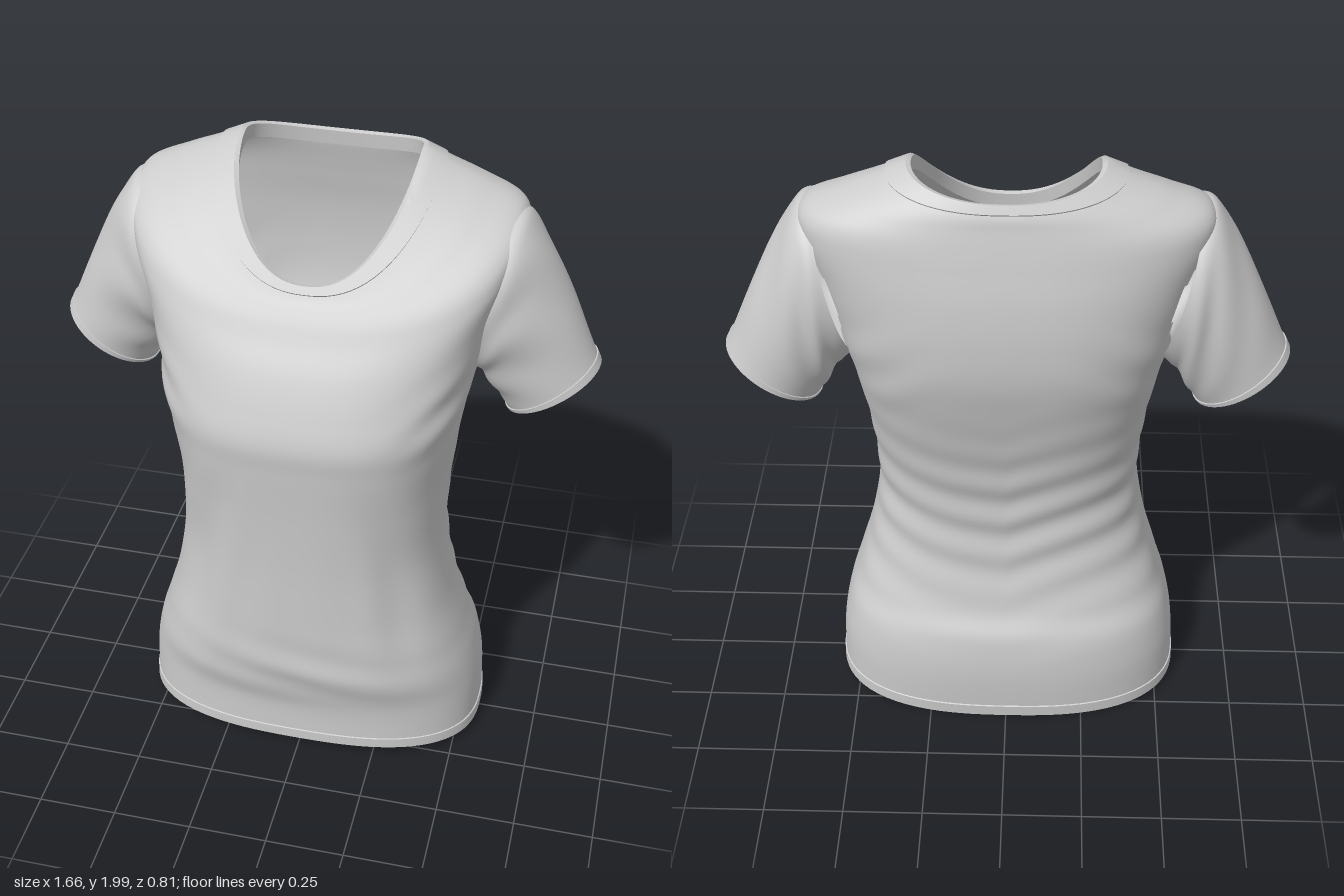
import * as THREE from 'three';
import { toCreasedNormals } from 'three/addons/utils/BufferGeometryUtils.js';

const fabric = new THREE.MeshStandardMaterial({ color: 0xcccccc, side: THREE.DoubleSide });
const TAU = Math.PI * 2;

// Torso rings, hem to neckline:
// [half width, side y, side z, front y, front z, back y, back z, squareness]
const TORSO = [
  [0.56, 0.03, 0, 0.045, 0.33, 0.005, -0.322, 2.6],
  [0.553, 0.2, 0, 0.2, 0.335, 0.19, -0.335, 2.6],
  [0.53, 0.32, 0, 0.32, 0.365, 0.33, -0.322, 2.6],
  [0.495, 0.43, 0.01, 0.43, 0.372, 0.43, -0.28, 2.6],
  [0.445, 0.6, 0.02, 0.6, 0.375, 0.6, -0.25, 2.5],
  [0.412, 0.8, 0.02, 0.8, 0.378, 0.8, -0.253, 2.5],
  [0.418, 1.0, 0, 1.0, 0.387, 1.0, -0.29, 2.6],
  [0.44, 1.2, -0.03, 1.18, 0.4, 1.2, -0.345, 2.8],
  [0.465, 1.33, -0.06, 1.28, 0.405, 1.38, -0.392, 2.8],
  [0.49, 1.45, -0.09, 1.38, 0.375, 1.52, -0.403, 2.7],
  [0.53, 1.62, -0.12, 1.48, 0.33, 1.65, -0.395, 2.6],
  [0.58, 1.78, -0.14, 1.56, 0.28, 1.76, -0.375, 2.5],
  [0.565, 1.86, -0.15, 1.61, 0.25, 1.82, -0.362, 2.5],
  [0.46, 1.91, -0.16, 1.645, 0.225, 1.87, -0.35, 2.5],
  [0.36, 1.95, -0.165, 1.67, 0.205, 1.905, -0.342, 2.4],
  [0.27, 1.99, -0.17, 1.7, 0.185, 1.94, -0.325, 2.3],
];

// Sleeve rings, armhole to cuff: [top x, top y, bottom x, bottom y, centre z, half depth]
const SLEEVE = [
  [0.55, 1.855, 0.44, 1.36, -0.11, 0.2],
  [0.59, 1.842, 0.475, 1.335, -0.115, 0.2],
  [0.65, 1.75, 0.5, 1.3, -0.12, 0.186],
  [0.735, 1.58, 0.53, 1.25, -0.125, 0.165],
  [0.8, 1.43, 0.553, 1.215, -0.125, 0.15],
  [0.828, 1.37, 0.562, 1.2, -0.125, 0.146],
];

// Smooth interpolation between the rows of a ring table
function ringAt(table, t) {
  const last = table.length - 1;
  const i = Math.min(Math.floor(t), last - 1);
  const f = t - i;
  const row = (k) => table[Math.max(0, Math.min(last, k))];
  return row(i).map((b, k) => {
    const a = row(i - 1)[k], c = row(i + 1)[k], d = row(i + 2)[k];
    return b + 0.5 * f * (c - a + f * (2 * a - 5 * b + 4 * c - d + f * (3 * (b - c) + d - a)));
  });
}

const bump = (v, centre, width) => Math.exp(-(((v - centre) / width) ** 2));

// Cloth folds: drapes at the front, waist creases at the back
function folds(x, y, z) {
  const ax = Math.abs(x);
  if (z > 0) {
    const drape = Math.sin(34 * ax + 10 * y + Math.sin(5 * y)) * bump(y, 0.75, 0.32) * bump(ax, 0.32, 0.14);
    const belly = Math.sin(36 * y + 7 * x) * bump(y, 0.36, 0.12) * bump(x, 0, 0.3);
    const armpit = Math.sin(45 * (y - 0.7 * ax)) * bump(y, 1.36, 0.12) * bump(ax, 0.44, 0.1);
    return (0.007 * drape + 0.006 * belly + 0.005 * armpit) * Math.min(1, z * 8);
  }
  const waist = Math.sin(42 * y - 12 * ax + Math.sin(7 * x)) * bump(y, 0.78, 0.3);
  const blade = Math.sin(30 * y + 20 * ax) * bump(y, 1.4, 0.15) * bump(ax, 0.38, 0.12);
  return (0.006 * waist + 0.004 * blade) * Math.min(1, -z * 8);
}

function torsoPoint(t, angle, grow = 0, lift = 0) {
  const [w, ys, zs, yf, zf, yb, zb, n] = ringAt(TORSO, t);
  const c = Math.cos(angle), s = Math.sin(angle);
  const r = (Math.abs(c) ** n + Math.abs(s) ** n) ** (-1 / n);
  const front = s > 0;
  const y = ys + ((front ? yf : yb) - ys) * Math.abs(s * r) ** 1.7;
  const x = w * c * r;
  const z = zs + (front ? zf - zs : zs - zb) * s * r;
  const out = grow + folds(x, y, z);
  return [x + c * out, y + lift, z + s * out];
}

function sleevePoint(side, t, angle, grow = 0) {
  const [tx, ty, bx, by, zc, hz] = ringAt(SLEEVE, t);
  const c = Math.cos(angle), s = Math.sin(angle);
  const crease = Math.sin(3.2 * t + 5 * angle) * 0.006 * bump(t, 2, 1.2) * (1 - 0.6 * Math.max(0, c));
  const half = Math.hypot(tx - bx, ty - by) / 2;
  const k = (c * (half + grow + crease)) / (2 * half);
  return [
    side * ((tx + bx) / 2 + (tx - bx) * k),
    (ty + by) / 2 + (ty - by) * k,
    zc + s * (hz + grow + crease),
  ];
}

// Closed-ring loft; skip(point) leaves a hole, flip reverses the faces
function loft(rows, cols, point, { skip = () => false, flip = false } = {}) {
  const pos = [], index = [];
  for (let i = 0; i < rows; i++)
    for (let j = 0; j < cols; j++) pos.push(...point(i, (j / cols) * TAU));
  for (let i = 0; i < rows - 1; i++)
    for (let j = 0; j < cols; j++) {
      const a = i * cols + j, b = i * cols + ((j + 1) % cols), c = a + cols, d = b + cols;
      if (skip(pos[3 * a], pos[3 * a + 1], pos[3 * a + 2])) continue;
      index.push(...(flip ? [a, b, c, b, d, c] : [a, c, b, b, c, d]));
    }
  const geometry = new THREE.BufferGeometry();
  geometry.setAttribute('position', new THREE.Float32BufferAttribute(pos, 3));
  geometry.setIndex(index);
  geometry.computeVertexNormals();
  return geometry;
}

export function createModel() {
  const group = new THREE.Group();
  const add = (name, geometry) => {
    const mesh = new THREE.Mesh(geometry, fabric);
    mesh.name = name;
    group.add(mesh);
  };
  const band = (name, steps, point, flip) =>
    add(name, toCreasedNormals(loft(steps.length, 96, (i, a) => point(a, ...steps[i]), { flip }), 0.7));

  // Torso with open armholes
  const inArmhole = (x, y, z) =>
    Math.abs(x) > 0.42 && ((y - 1.6) / 0.2) ** 2 + ((z + 0.11) / 0.15) ** 2 < 1;
  add('torso', loft(151, 144, (i, a) => torsoPoint(i / 10, a), { skip: inArmhole }));

  // Folded hem and neckband
  const onTorso = (a, t, grow, lift) => torsoPoint(t, a, grow, lift);
  band('hem', [[0.3, -0.012], [0, -0.012], [0, 0.004], [0.15, 0.004], [0.3, 0.004], [0.31, 0]], onTorso);
  band('neckband', [
    [14.28, 0, 0], [14.3, 0.004, 0.004], [14.65, 0.004, 0.004], [15, 0.004, 0.004],
    [15, -0.01, 0], [15, -0.006, -0.045],
  ], onTorso);

  // Sleeves and their folded cuffs
  for (const side of [1, -1]) {
    const label = side > 0 ? 'left' : 'right';
    const flip = side > 0;
    add(label + 'Sleeve', loft(51, 72, (i, a) => sleevePoint(side, i / 10, a), { flip }));
    band(label + 'Cuff', [[4.38, 0], [4.4, 0.004], [4.7, 0.004], [5, 0.004], [5, -0.01], [4.4, -0.01]],
      (a, t, grow) => sleevePoint(side, t, a, grow), flip);
  }
  return group;
}
